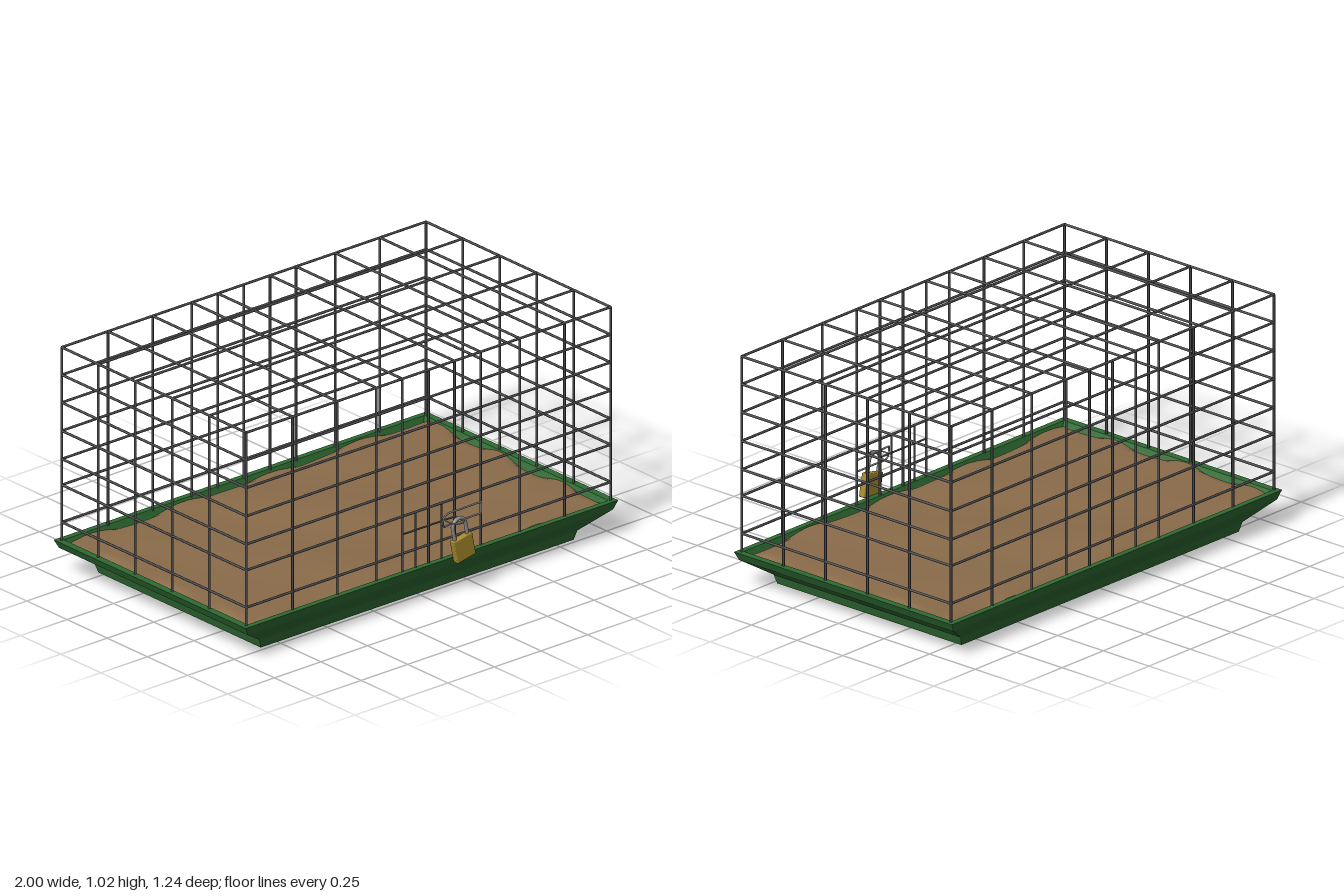
import * as THREE from 'three';
import { mergeGeometries } from 'three/addons/utils/BufferGeometryUtils.js';
import { RoundedBoxGeometry } from 'three/addons/geometries/RoundedBoxGeometry.js';

const mat = (color, extra = {}) => new THREE.MeshStandardMaterial({ color, ...extra });
const V = (x, y, z) => new THREE.Vector3(x, y, z);
const UP = V(0, 1, 0);
const MID_Z = -0.025;

function named(name, geometry, material) {
  const mesh = new THREE.Mesh(geometry, material);
  mesh.name = name;
  return mesh;
}

// Straight round wire between two points
function wire(a, b, r = 0.0055) {
  const dir = b.clone().sub(a);
  const g = new THREE.CylinderGeometry(r, r, dir.length(), 8);
  g.applyQuaternion(new THREE.Quaternion().setFromUnitVectors(UP, dir.normalize()));
  return g.translate((a.x + b.x) / 2, (a.y + b.y) / 2, (a.z + b.z) / 2);
}

// Loft through rectangles given as [half width, height, half depth]
function rectLoft(rings) {
  const corners = [[1, 1], [1, -1], [-1, -1], [-1, 1]];
  const pos = [], index = [];
  rings.forEach(([hx, y, hz], k) => {
    corners.forEach(([sx, sz]) => pos.push(sx * hx, y, sz * hz + MID_Z));
    if (!k) return;
    for (let i = 0; i < 4; i++) {
      const j = (i + 1) % 4, a = (k - 1) * 4, b = k * 4;
      index.push(a + i, a + j, b + j, a + i, b + j, b + i);
    }
  });
  const g = new THREE.BufferGeometry();
  g.setAttribute('position', new THREE.Float32BufferAttribute(pos, 3));
  g.setIndex(index);
  const flat = g.toNonIndexed();
  flat.computeVertexNormals();
  return flat;
}

// Uneven soil with ragged edges that sink into the tray
function soilGeometry() {
  const g = new THREE.PlaneGeometry(1.93, 1.125, 64, 40).rotateX(-Math.PI / 2);
  const p = g.attributes.position;
  for (let i = 0; i < p.count; i++) {
    const x = p.getX(i), z = p.getZ(i);
    const waves = Math.sin(x * 5 + z * 3) * Math.cos(z * 9 - x * 2) + 0.5 * Math.sin(x * 11 - z * 6);
    const edge = Math.min(0.965 - Math.abs(x), 0.5625 - Math.abs(z));
    const ragged = 0.5 + 0.5 * Math.sin(x * 13 + z * 17);
    const drop = 0.03 * ragged * Math.max(0, 1 - edge / 0.035);
    p.setY(i, 0.153 + 0.006 * waves - drop);
  }
  g.computeVertexNormals();
  return g.translate(0, 0, MID_Z);
}

function createCage(steel) {
  const cage = new THREE.Group();
  cage.name = 'wireCage';
  const X = 0.978, front = 0.55, back = -0.598, top = 1.015, base = 0.13;
  const rows = [0.24, 0.405, 0.52, 0.645, 0.77, 0.893, top];
  const columns = [-0.73, -0.49, -0.28, -0.14, 0.14, 0.28, 0.49, 0.73];
  const sideColumns = [0.32, 0.09, -0.14, -0.37];

  // Front and back walls
  for (const [name, z] of [['frontWall', front], ['backWall', back]]) {
    const parts = rows.map(y => wire(V(-X, y, z), V(X, y, z)));
    [-X, ...columns, 0, X].forEach(x => parts.push(wire(V(x, base, z), V(x, top, z))));
    cage.add(named(name, mergeGeometries(parts), steel));
  }
  // Side walls
  for (const [name, x] of [['leftWall', X], ['rightWall', -X]]) {
    const parts = rows.map(y => wire(V(x, y, front), V(x, y, back)));
    sideColumns.forEach(z => parts.push(wire(V(x, base, z), V(x, top, z))));
    cage.add(named(name, mergeGeometries(parts), steel));
  }
  // Roof
  const roof = columns.map(x => wire(V(x, top, front), V(x, top, back)));
  sideColumns.forEach(z => roof.push(wire(V(-X, top, z), V(X, top, z))));
  cage.add(named('roof', mergeGeometries(roof), steel));

  // Small door with closer wires
  const door = [-0.07, 0.07].map(x => wire(V(x, base, front), V(x, 0.405, front), 0.004));
  door.push(wire(V(-0.14, 0.325, front), V(0.14, 0.325, front), 0.004));
  cage.add(named('door', mergeGeometries(door), steel));
  return cage;
}

function createLatch(metal) {
  const latch = new THREE.Group();
  latch.name = 'latch';
  // Long hasp wire rounded at the free end
  const hasp = new THREE.CatmullRomCurve3([
    V(0.28, 0.352, 0.553), V(0.18, 0.352, 0.555), V(0.09, 0.352, 0.56), V(0.058, 0.342, 0.575),
    V(0.052, 0.326, 0.58), V(0.062, 0.31, 0.575), V(0.09, 0.302, 0.56), V(0.18, 0.302, 0.555), V(0.28, 0.302, 0.553),
  ]);
  latch.add(named('hasp', new THREE.TubeGeometry(hasp, 48, 0.004, 8), metal));
  latch.add(named('haspEnd', wire(V(0.28, 0.3, 0.553), V(0.28, 0.354, 0.553), 0.004), metal));
  // Staple passing through the shackle
  const staple = new THREE.CatmullRomCurve3([
    V(0.085, 0.325, 0.55), V(0.085, 0.325, 0.6), V(0.1, 0.325, 0.617),
    V(0.13, 0.325, 0.617), V(0.145, 0.325, 0.6), V(0.145, 0.325, 0.55),
  ]);
  latch.add(named('staple', new THREE.TubeGeometry(staple, 32, 0.003, 8), metal));
  return latch;
}

function createPadlock(brass, metal) {
  const padlock = new THREE.Group();
  padlock.name = 'padlock';
  padlock.add(named('padlockBody', new RoundedBoxGeometry(0.1, 0.102, 0.03, 2, 0.004), brass));
  // Shackle with two straight legs and a round arch
  const points = [V(-0.034, 0.045, 0), V(-0.034, 0.075, 0)];
  for (let i = 0; i <= 8; i++) {
    const a = Math.PI * (1 - i / 8);
    points.push(V(0.034 * Math.cos(a), 0.102 + 0.034 * Math.sin(a), 0));
  }
  points.push(V(0.034, 0.075, 0), V(0.034, 0.045, 0));
  const shackle = new THREE.TubeGeometry(new THREE.CatmullRomCurve3(points), 40, 0.0085, 10);
  padlock.add(named('shackle', shackle, metal));
  padlock.position.set(0.15, 0.2, 0.59);
  padlock.rotation.z = 0.2;
  return padlock;
}

export function createModel() {
  const model = new THREE.Group();
  model.name = 'smallAnimalCage';
  const steel = mat(0x4a4a4c), metal = mat(0x8a8a8c);

  // Flared tray: underside, outer wall, rim, inner wall, floor
  const tray = rectLoft([
    [0, 0, 0], [0.84, 0, 0.505], [0.853, 0.04, 0.513], [0.98, 0.122, 0.588], [1, 0.16, 0.597],
    [0.968, 0.16, 0.571], [0.95, 0.125, 0.56], [0.83, 0.05, 0.49], [0, 0.05, 0],
  ]);
  model.add(named('tray', tray, mat(0x2f6b33, { flatShading: true })));
  model.add(named('soil', soilGeometry(), mat(0x8a6c4a, { side: THREE.DoubleSide })));
  model.add(createCage(steel));
  model.add(createLatch(metal));
  model.add(createPadlock(mat(0xa88a2c), metal));
  return model;
}
